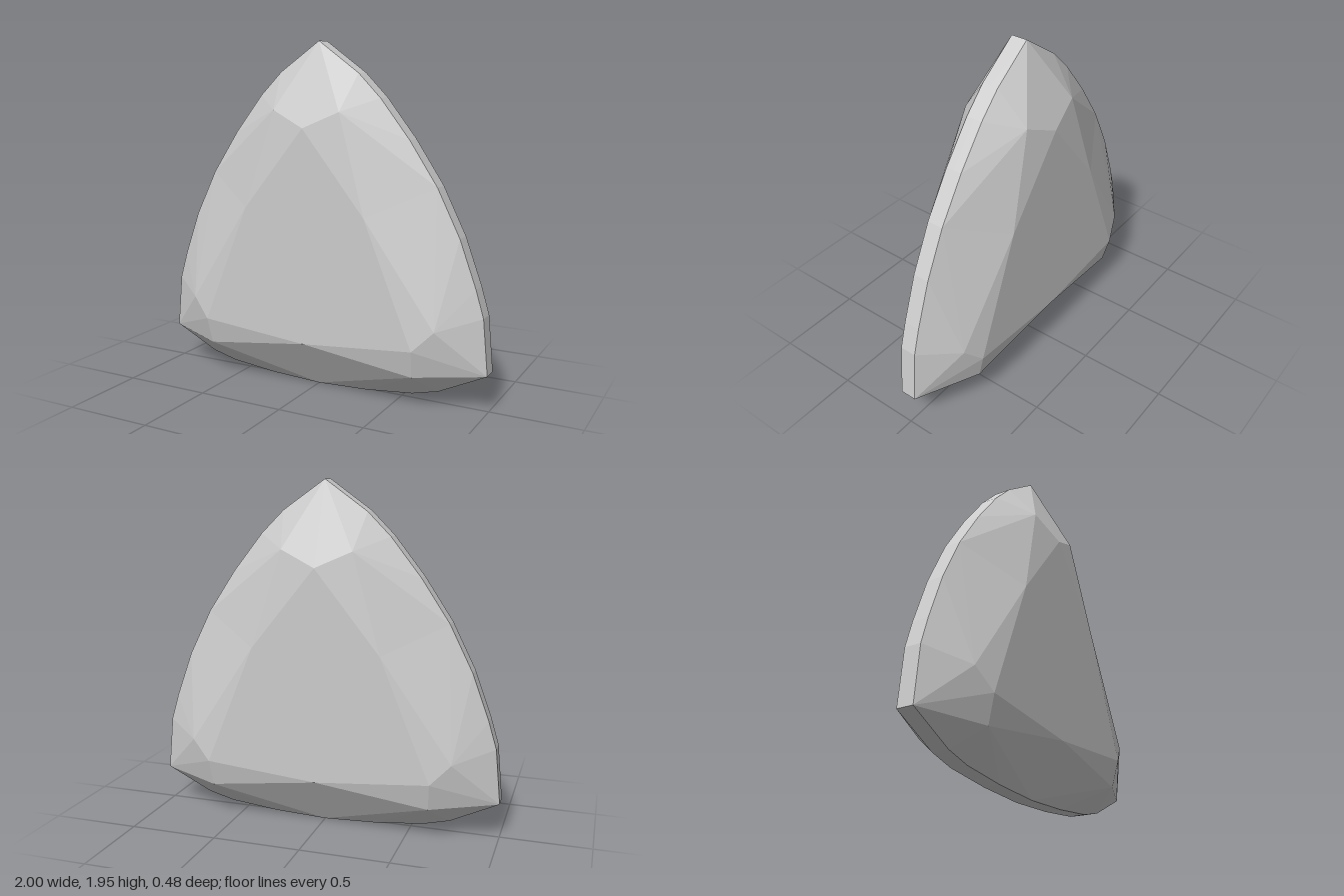
import * as THREE from 'three';

// Flat-shaded mesh from convex polygons of one quarter, mirrored in x and z
function mirroredFacets(name, polygons, material) {
  const positions = [];
  for (const sx of [1, -1]) for (const sz of [1, -1]) {
    for (const poly of polygons) {
      for (let i = 1; i < poly.length - 1; i++) {
        const tri = [poly[0], poly[i], poly[i + 1]];
        if (sx * sz < 0) tri.reverse();
        for (const [x, y, z] of tri) positions.push(x * sx, y, z * sz);
      }
    }
  }
  const geometry = new THREE.BufferGeometry();
  geometry.setAttribute('position', new THREE.Float32BufferAttribute(positions, 3));
  geometry.computeVertexNormals();
  const mesh = new THREE.Mesh(geometry, material);
  mesh.name = name;
  return mesh;
}

export function createModel() {
  const material = new THREE.MeshStandardMaterial({ color: 0xcccccc, flatShading: true });
  const girdleZ = 0.047, breakZ = 0.2, tableZ = 0.238;

  // Right half of the rounded triangular outline, top point to bottom middle
  const outline = [
    [0, 1.945], [0.24, 1.775], [0.37, 1.645], [0.54, 1.43], [0.7, 1.19],
    [0.83, 0.93], [0.925, 0.67], [0.97, 0.52], [1, 0.21],
    [0.73, 0.08], [0.58, 0.042], [0.3, 0.013], [0, 0],
  ];
  const rim = outline.map(([x, y]) => [x, y, girdleZ]);
  const sideMid = 4, corner = 8, last = rim.length - 1;

  // Table corners and the break points between table and girdle
  const tableTop = [0, 1.485, tableZ], tableSide = [0.365, 1.03, tableZ];
  const tableCorner = [0.645, 0.345, tableZ], tableBottom = [0, 0.288, tableZ];
  const breakTop = [0.2, 1.575, breakZ], breakSide = [0.755, 0.455, breakZ];
  const breakBottom = [0.635, 0.192, breakZ];

  // Thin facets fanning from a break point to a run of the outline
  const fan = (apex, from, to) => {
    const out = [];
    for (let i = from; i < to; i++) out.push([apex, rim[i + 1], rim[i]]);
    return out;
  };

  const table = [[tableTop, tableBottom, tableCorner, tableSide]];
  const starFacets = [
    [tableTop, tableSide, breakTop],
    [tableSide, tableCorner, breakSide],
    [tableBottom, breakBottom, tableCorner],
  ];
  const mainFacets = [
    [rim[0], tableTop, breakTop],
    [tableCorner, breakBottom, rim[corner], breakSide],
    [tableSide, breakSide, rim[sideMid], breakTop],
    [tableBottom, rim[last], breakBottom],
  ];
  const rimFacets = [
    ...fan(breakTop, 0, sideMid),
    ...fan(breakSide, sideMid, corner),
    ...fan(breakBottom, corner, last),
  ];

  // Upright band around the edge
  const girdle = [];
  for (let i = 0; i < last; i++) {
    const [a, b] = [outline[i], outline[i + 1]];
    girdle.push([rim[i], rim[i + 1], [...b, 0], [...a, 0]]);
  }

  const gem = new THREE.Group();
  gem.name = 'triangularGem';
  gem.add(
    mirroredFacets('tables', table, material),
    mirroredFacets('starFacets', starFacets, material),
    mirroredFacets('mainFacets', mainFacets, material),
    mirroredFacets('rimFacets', rimFacets, material),
    mirroredFacets('girdle', girdle, material),
  );
  return gem;
}
